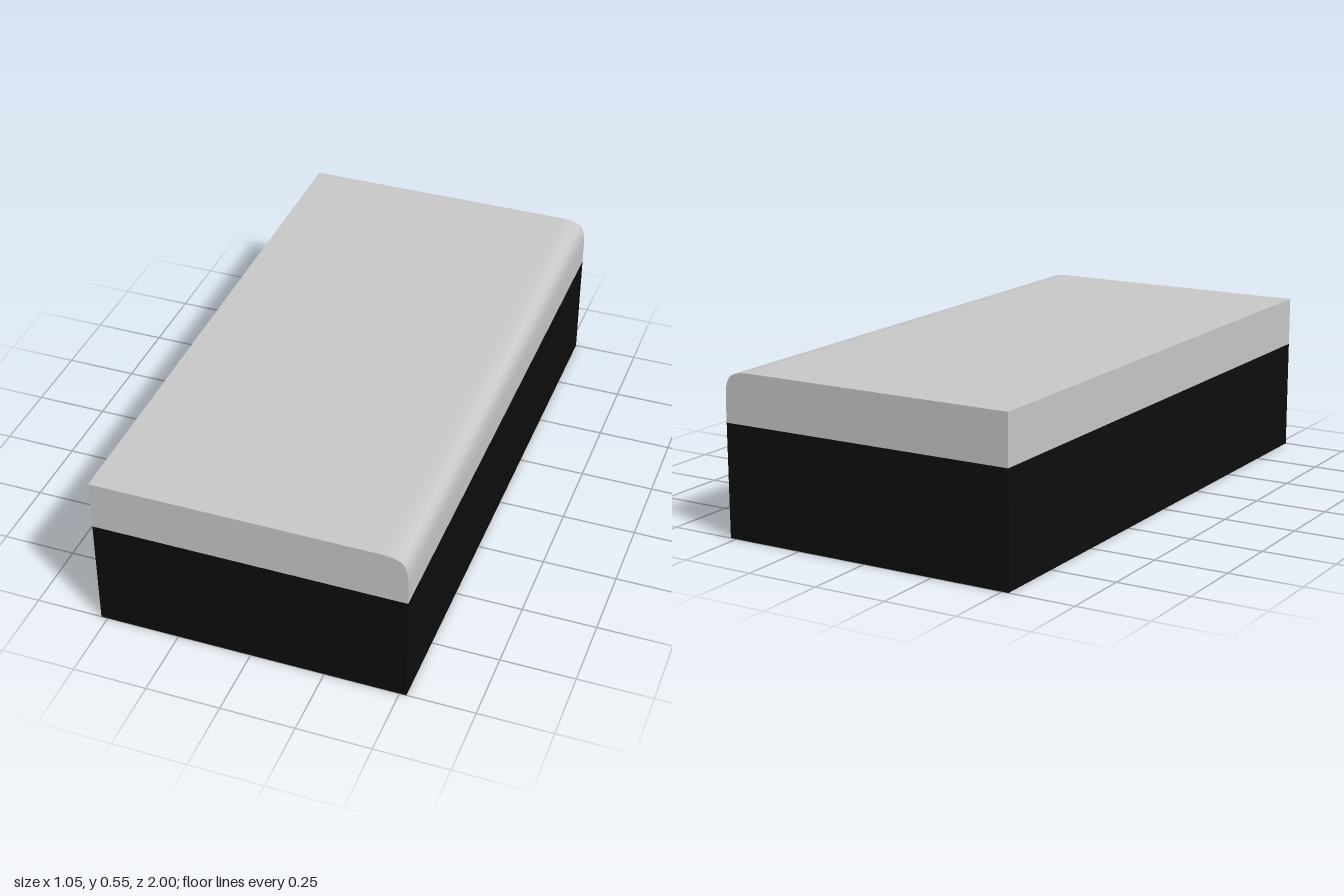
import * as THREE from 'three';
import { toCreasedNormals } from 'three/addons/utils/BufferGeometryUtils.js';

const W = 0.523, D = 1, BASE = 0.383, TOP = 0.553; // half width, half depth, heights
const WALL = 0.02, CHAMFER = 0.09, SPRING = 0.28, CEILING = 0.36;

const black = new THREE.MeshStandardMaterial({ name: 'black', color: 0x0d0d0d });
const grey = new THREE.MeshStandardMaterial({ name: 'light grey', color: 0xc8c8c8 });

// Counter-clockwise rectangle with chamfered corners
function octagon(w, d, c) {
  return [
    [w, -d + c], [w, d - c], [w - c, d], [-w + c, d],
    [-w, d - c], [-w, -d + c], [-w + c, -d], [w - c, -d],
  ].map(([x, y]) => new THREE.Vector2(x, y));
}

// Extrude a plan upwards from y = 0
function extrudeUp(shape, height) {
  const geo = new THREE.ExtrudeGeometry(shape, { depth: height, bevelEnabled: false });
  return geo.rotateX(-Math.PI / 2);
}

// Outer walls with a chamfered cavity and a small pocket in each corner
function wallsGeometry() {
  const plan = new THREE.Shape([[-W, -D], [W, -D], [W, D], [-W, D]].map(p => new THREE.Vector2(...p)));
  plan.holes.push(new THREE.Path(octagon(W - WALL, D - WALL, CHAMFER)));
  for (const sx of [-1, 1]) for (const sy of [-1, 1]) {
    const corner = (a, b) => new THREE.Vector2(sx * (W - a), sy * (D - b));
    plan.holes.push(new THREE.Path([corner(0.02, 0.02), corner(0.07, 0.02), corner(0.02, 0.07)]));
  }
  return extrudeUp(plan, BASE);
}

// Sloped underside running from the cavity walls to a flat ceiling
function vaultGeometry() {
  const low = octagon(W - WALL, D - WALL, CHAMFER);
  const high = octagon(W - 0.11, D - 0.12, 0);
  const pos = [], index = [];
  low.forEach(p => pos.push(p.x, SPRING, -p.y));
  high.forEach(p => pos.push(p.x, CEILING, -p.y));
  for (let i = 0; i < 8; i++) {
    const j = (i + 1) % 8;
    index.push(i, i + 8, j, j, i + 8, j + 8);
    if (i > 0 && i < 7) index.push(8, j + 8, i + 8);
  }
  const geo = new THREE.BufferGeometry();
  geo.setAttribute('position', new THREE.Float32BufferAttribute(pos, 3));
  geo.setIndex(index);
  const flat = geo.toNonIndexed();
  flat.computeVertexNormals();
  return flat;
}

// Top slab with one softly rounded long edge
function slabGeometry() {
  const r = 0.103, k = r * 0.15;
  const profile = new THREE.Shape();
  profile.moveTo(-W, BASE);
  profile.lineTo(W, BASE);
  profile.lineTo(W, TOP - r);
  profile.bezierCurveTo(W, TOP - k, W - k, TOP, W - r, TOP);
  profile.lineTo(-W, TOP);
  profile.closePath();
  const geo = new THREE.ExtrudeGeometry(profile, { depth: 2 * D, bevelEnabled: false, curveSegments: 12 });
  return toCreasedNormals(geo.translate(0, 0, -D), 0.7);
}

export function createModel() {
  const model = new THREE.Group();
  model.name = 'block';
  const add = (name, geometry, material) => {
    const mesh = new THREE.Mesh(geometry, material);
    mesh.name = name;
    model.add(mesh);
  };
  add('baseWalls', wallsGeometry(), black);
  add('baseUnderside', vaultGeometry(), black);
  add('topSlab', slabGeometry(), grey);
  return model;
}
